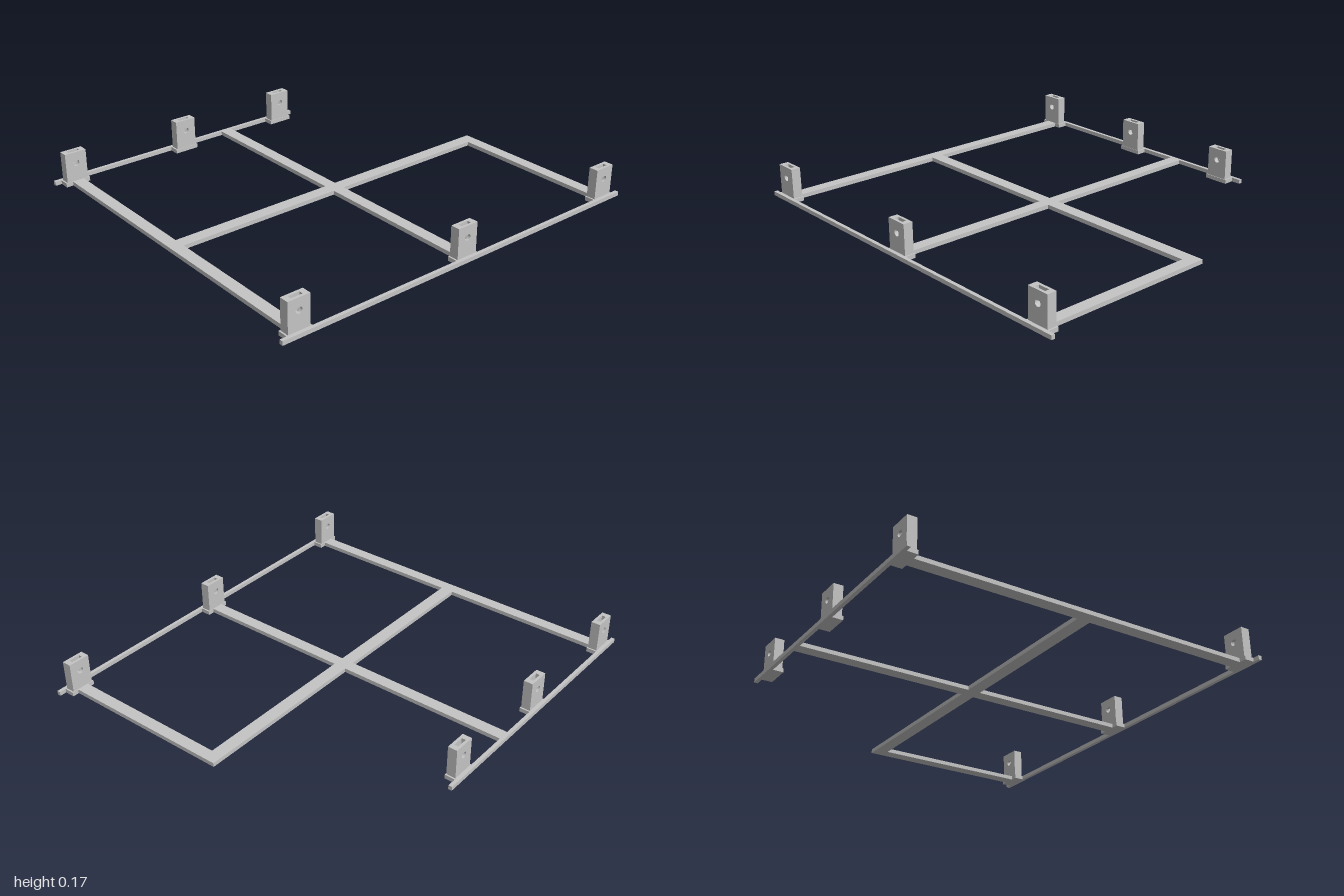
import * as THREE from 'three';

const gray = new THREE.MeshStandardMaterial({ color: 0xc4c4c4 });
gray.name = 'light gray';

const H = 0.02; // frame thickness

// Box given by its extents on each axis
function bar(name, x0, x1, z0, z1) {
  const geo = new THREE.BoxGeometry(x1 - x0, H, z1 - z0);
  geo.translate((x0 + x1) / 2, H / 2, (z0 + z1) / 2);
  const mesh = new THREE.Mesh(geo, gray);
  mesh.name = name;
  return mesh;
}

// Upright wall outline with a teardrop bolt hole
function wallShape() {
  const s = new THREE.Shape();
  s.moveTo(-0.055, 0).lineTo(0.055, 0).lineTo(0.055, 0.167).lineTo(-0.055, 0.167).closePath();
  const hole = new THREE.Path();
  hole.moveTo(0, 0.134);
  hole.absarc(0, 0.111, 0.016, Math.PI * 0.75, Math.PI * 2.25, false);
  hole.closePath();
  s.holes.push(hole);
  return s;
}

// U-shaped core leaving the nut pocket open at the top
function coreShape() {
  const s = new THREE.Shape();
  s.moveTo(-0.055, 0).lineTo(0.055, 0).lineTo(0.055, 0.167).lineTo(0.028, 0.167);
  s.lineTo(0.028, 0.111).lineTo(0.014, 0.087).lineTo(-0.014, 0.087).lineTo(-0.028, 0.111);
  s.lineTo(-0.028, 0.167).lineTo(-0.055, 0.167).closePath();
  return s;
}

function slab(name, shape, z0, z1) {
  const geo = new THREE.ExtrudeGeometry(shape, { depth: z1 - z0, bevelEnabled: false, curveSegments: 16 });
  geo.translate(0, 0, z0);
  const mesh = new THREE.Mesh(geo, gray);
  mesh.name = name;
  return mesh;
}

function mountBracket(x, z) {
  const g = new THREE.Group();
  g.name = 'mountBracket';
  g.add(bar('bracketFoot', -0.063, 0.063, -0.026, 0.026));
  g.add(slab('bracketFrontWall', wallShape(), 0.01, 0.023));
  g.add(slab('bracketCore', coreShape(), -0.01, 0.01));
  g.add(slab('bracketBackWall', wallShape(), -0.023, -0.01));
  g.position.set(x, 0, z);
  return g;
}

export function createModel() {
  const model = new THREE.Group();
  model.name = 'mountingFrame';

  // Thin edge rails, the rear one shorter
  model.add(bar('frontRail', -1, 1, 0.889, 0.907));
  model.add(bar('rearRail', -1, 0.43, -0.907, -0.889));

  // Flat struts
  model.add(bar('rightStrut', -0.933, -0.874, -0.84, 0.84));
  model.add(bar('centerStrut', -0.03, 0.03, -0.889, 0.84));
  model.add(bar('leftStrut', 0.874, 0.933, 0.04, 0.84));
  model.add(bar('crossStrutRight', -0.874, -0.03, -0.024, 0.04));
  model.add(bar('crossStrutLeft', 0.03, 0.933, -0.024, 0.04));

  // Bolt brackets along each rail
  for (const x of [-0.905, 0, 0.903]) model.add(mountBracket(x, 0.865));
  for (const x of [-0.905, -0.281, 0.32]) model.add(mountBracket(x, -0.864));

  return model;
}
